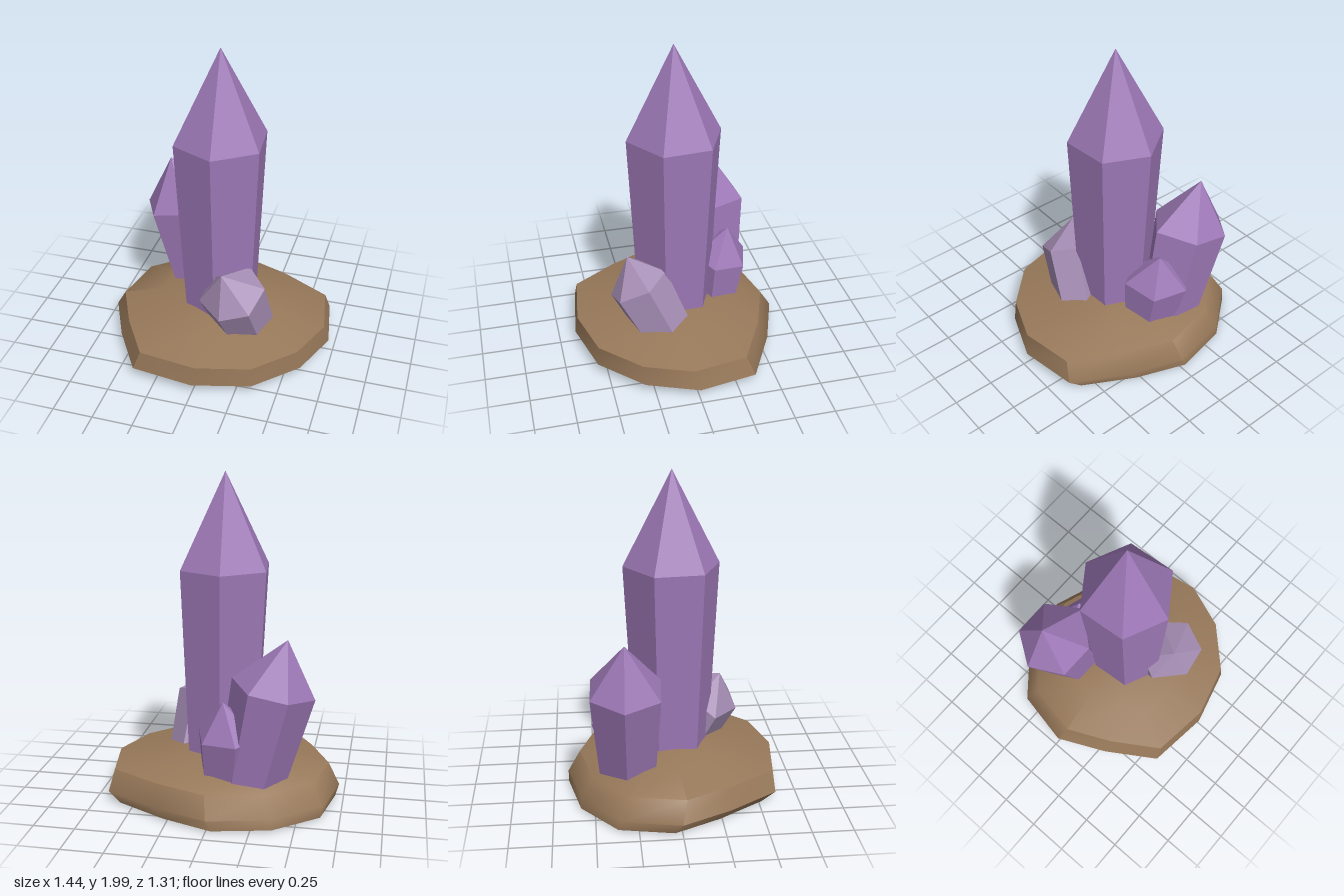
import * as THREE from 'three';
import { toCreasedNormals } from 'three/addons/utils/BufferGeometryUtils.js';

// Skin rings of [x, y, z] points (clockwise from above, bottom to top), closed by two end points
function loft(bottom, rings, top) {
  const pos = [];
  const tri = (...pts) => pts.forEach((p) => pos.push(...p));
  const n = rings[0].length;
  const last = rings[rings.length - 1];
  for (let i = 0; i < n; i++) {
    const j = (i + 1) % n;
    tri(rings[0][i], rings[0][j], bottom);
    for (let k = 0; k < rings.length - 1; k++) {
      const a = rings[k], b = rings[k + 1];
      tri(a[j], a[i], b[i]);
      tri(a[j], b[i], b[j]);
    }
    tri(last[j], last[i], top);
  }
  const geo = new THREE.BufferGeometry();
  geo.setAttribute('position', new THREE.Float32BufferAttribute(pos, 3));
  geo.computeVertexNormals();
  return geo;
}

// Six-sided crystal: the shoulder ring shrinks toward the base centre and meets at the tip
function crystal(shoulder, tip, base, taper) {
  const centre = [0, 1, 2].map((c) => shoulder.reduce((s, p) => s + p[c], 0) / shoulder.length);
  const foot = shoulder.map((p) => p.map((v, c) => base[c] + (v - centre[c]) * taper));
  return loft(base, [foot, shoulder], tip);
}

export function createModel() {
  const model = new THREE.Group();
  const purple = new THREE.MeshStandardMaterial({ color: 0x9d78b6 });
  purple.name = 'purple crystal';
  const pale = new THREE.MeshStandardMaterial({ color: 0xa68eb5 });
  pale.name = 'pale crystal';
  const brown = new THREE.MeshStandardMaterial({ color: 0x98795a });
  brown.name = 'brown rock';
  const add = (name, geo, mat) => {
    const mesh = new THREE.Mesh(geo, mat);
    mesh.name = name;
    model.add(mesh);
  };

  // Rock slab: one irregular outline, scaled and shifted at each height
  const outline = [
    [0, -0.66], [0.33, -0.54], [0.66, -0.36], [0.72, 0], [0.6, 0.31], [0.35, 0.56],
    [0, 0.65], [-0.39, 0.6], [-0.58, 0.3], [-0.72, 0], [-0.65, -0.35], [-0.37, -0.58],
  ];
  const layer = (y, s, dx, dz) => outline.map(([x, z]) => [x * s + dx, y, z * s + dz]);
  const rock = loft([0, 0.02, 0], [
    layer(0.02, 0.93, -0.03, -0.045),
    layer(0.08, 1, 0, 0),
    layer(0.205, 0.93, 0.02, 0.03),
    layer(0.265, 0.56, 0, 0),
    layer(0.3, 0.28, 0, 0),
  ], [0, 0.31, 0]);
  add('rockBase', toCreasedNormals(rock, 0.8), brown);

  // Tall upright crystal
  add('mainCrystal', crystal([
    [-0.02, 1.43, -0.295], [0.24, 1.43, -0.175], [0.265, 1.43, 0.12],
    [0.02, 1.43, 0.29], [-0.24, 1.43, 0.17], [-0.265, 1.43, -0.125],
  ], [0, 2, 0], [0.01, 0.1, 0], 0.78), purple);

  // Medium crystal leaning to the side
  add('sideCrystal', crystal([
    [-0.585, 0.73, -0.32], [-0.45, 0.76, -0.515], [-0.22, 0.8, -0.505],
    [-0.09, 0.83, -0.285], [-0.26, 0.8, -0.09], [-0.48, 0.75, -0.105],
  ], [-0.42, 1.08, -0.31], [-0.21, 0.16, -0.29], 0.8), purple);

  // Small crystal at the back
  add('backCrystal', crystal([
    [-0.15, 0.47, -0.505], [0.06, 0.46, -0.445], [0.12, 0.5, -0.24],
    [-0.03, 0.53, -0.15], [-0.2, 0.53, -0.21], [-0.25, 0.5, -0.39],
  ], [-0.05, 0.7, -0.365], [-0.05, 0.12, -0.28], 0.75), purple);

  // Pale crystal leaning forward
  add('frontCrystal', crystal([
    [-0.06, 0.43, 0.27], [-0.02, 0.53, 0.15], [0.22, 0.62, 0.1],
    [0.345, 0.57, 0.23], [0.29, 0.48, 0.4], [0.11, 0.42, 0.425],
  ], [0.095, 0.675, 0.315], [0.215, 0.085, 0.065], 0.85), pale);

  return model;
}
